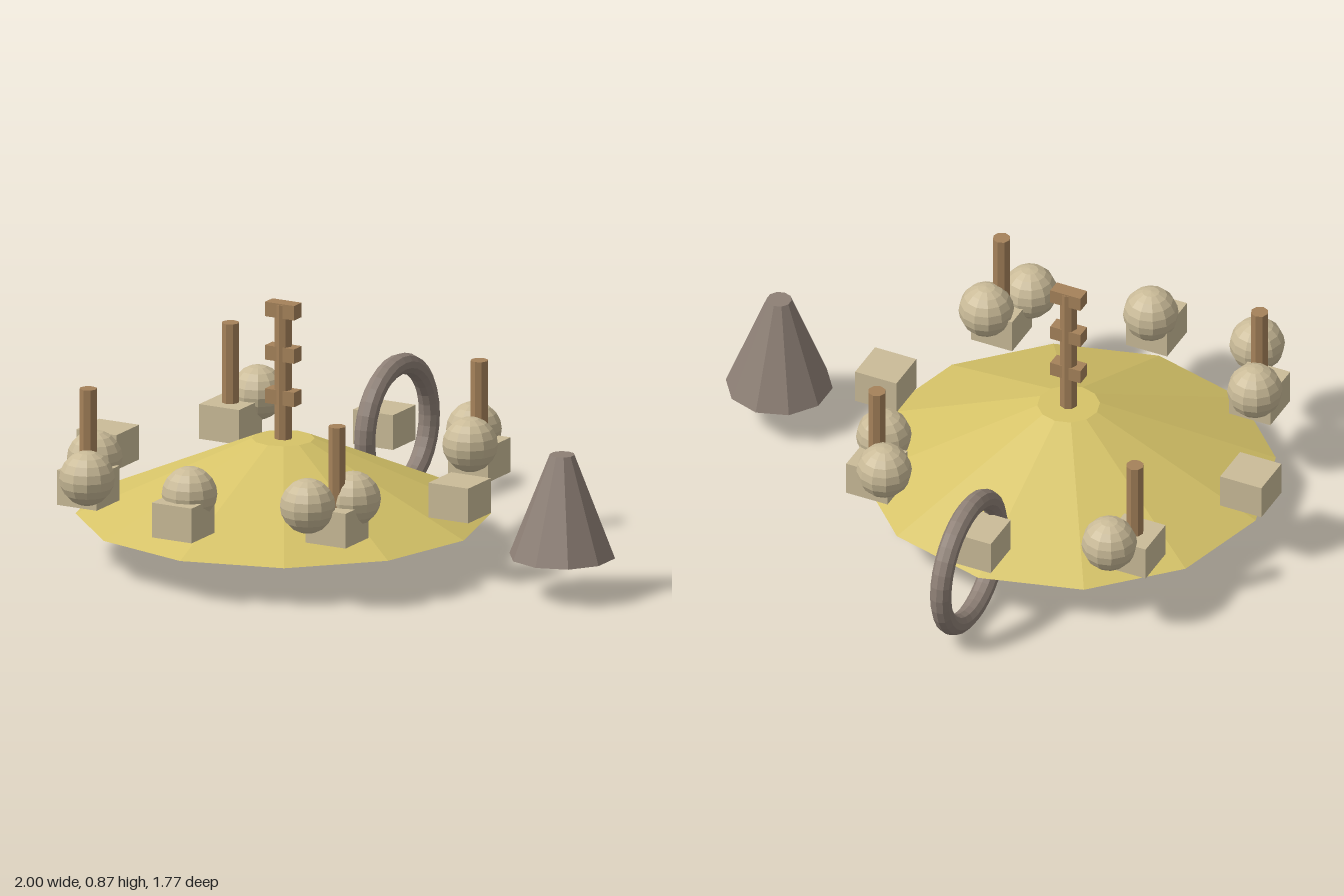
import * as THREE from 'three';

const mat = (name, color) => {
  const m = new THREE.MeshStandardMaterial({ color, flatShading: true });
  m.name = name;
  return m;
};

export function createModel() {
  const sand = mat('sand', 0xd6c368);
  const stone = mat('paleStone', 0xcabb98);
  const wood = mat('wood', 0xa5825a);
  const rock = mat('greyRock', 0x8d7f75);

  const group = new THREE.Group();
  const add = (name, geometry, material, x, y, z) => {
    const mesh = new THREE.Mesh(geometry, material);
    mesh.name = name;
    mesh.position.set(x, y, z);
    group.add(mesh);
    return mesh;
  };
  const CX = -0.25, CZ = 0.13;

  // Broad twelve-sided mound
  add('mound', new THREE.CylinderGeometry(0.105, 0.693, 0.26, 12), sand, CX, 0.27, CZ);

  // Central totem: pole with three crosspieces
  add('totemPole', new THREE.CylinderGeometry(0.03, 0.03, 0.465, 8), wood, CX, 0.6325, CZ);
  for (const y of [0.545, 0.695, 0.845]) {
    add('totemCrosspiece', new THREE.BoxGeometry(0.112, 0.05, 0.05), wood, CX, y, CZ);
  }

  // Ring of eight blocks, with a post on each diagonal one
  const blockGeo = new THREE.BoxGeometry(0.153, 0.12, 0.153);
  const postGeo = new THREE.CylinderGeometry(0.03, 0.03, 0.275, 8);
  for (let i = 0; i < 8; i++) {
    const a = (i * Math.PI) / 4;
    const x = CX + 0.676 * Math.sin(a), z = CZ - 0.003 + 0.676 * Math.cos(a);
    add('block', blockGeo, stone, x, 0.285, z);
    if (i % 2) add('post', postGeo, wood, x, 0.4825, z);
  }

  // Boulders scattered around the rim
  const boulderGeo = new THREE.SphereGeometry(0.093, 12, 10);
  const boulders = [
    [-0.687, -0.463], [0.168, -0.42], [0.254, -0.244], [-0.751, 0.521],
    [-0.644, 0.76], [-0.25, 0.76], [0.254, 0.542], [0.168, 0.697],
  ];
  for (const [x, z] of boulders) add('boulder', boulderGeo, stone, x, 0.358, z);

  // Upright ring at the back
  add('ring', new THREE.TorusGeometry(0.217, 0.036, 10, 32), rock, CX, 0.253, -0.634)
    .rotation.y = Math.PI / 2;

  // Truncated cone standing to one side
  add('cone', new THREE.CylinderGeometry(0.042, 0.18, 0.35, 10), rock, 0.822, 0.315, CZ);

  return group;
}
